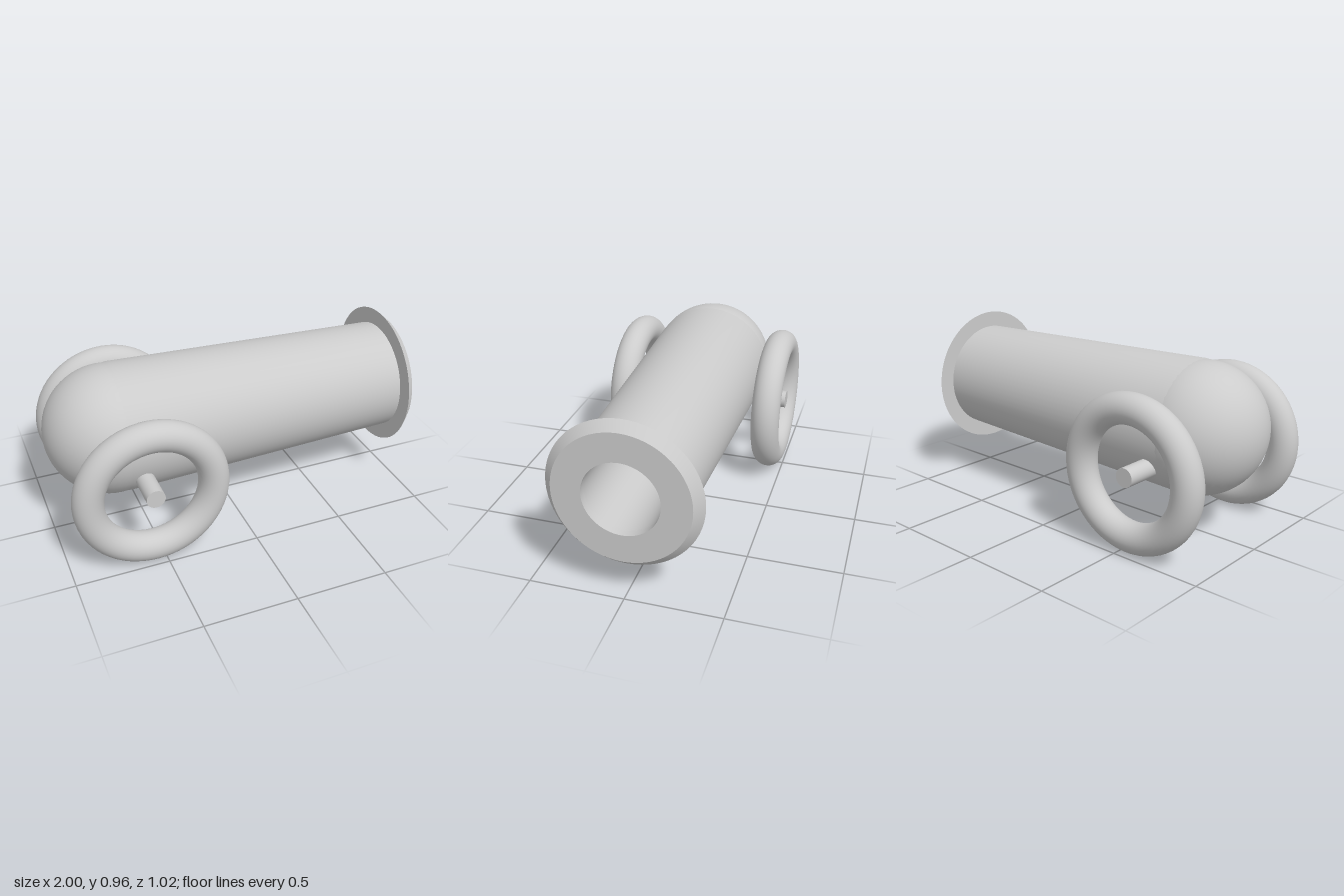
import * as THREE from 'three';
import { toCreasedNormals } from 'three/addons/utils/BufferGeometryUtils.js';

export function createModel() {
  const model = new THREE.Group();
  model.name = 'cannon';
  const material = new THREE.MeshStandardMaterial({ color: 0xcccccc });
  const AXIS_Y = 0.572;
  const BORE = 0.195;

  const add = (name, geometry, x, y, z) => {
    const mesh = new THREE.Mesh(geometry, material);
    mesh.name = name;
    mesh.position.set(x, y, z);
    model.add(mesh);
    return mesh;
  };

  // Turned part along x; points are [x, radius], outside forwards, inside back
  const turned = (points) => {
    const profile = points.map(([x, r]) => new THREE.Vector2(r, x));
    const geometry = new THREE.LatheGeometry(profile, 64).rotateZ(-Math.PI / 2);
    return toCreasedNormals(geometry, 0.5);
  };

  // Hollow tapered barrel, open at both ends
  add('barrel', turned([
    [-0.75, BORE], [-0.75, 0.332], [-0.6, 0.348], [0.96, 0.303],
    [0.96, BORE], [-0.75, BORE],
  ]), 0, AXIS_Y, 0);

  // Flared muzzle ring with a bevelled rim
  add('muzzleRing', turned([
    [0.95, BORE], [0.95, 0.392], [1, 0.346], [1, BORE], [0.95, BORE],
  ]), 0, AXIS_Y, 0);

  // Ball closing the rear; its front is the bottom of the bore
  add('breech', new THREE.SphereGeometry(0.347, 48, 32).rotateZ(Math.PI / 2),
    -0.653, AXIS_Y, 0);

  // Axle under the breech
  add('axle', new THREE.CylinderGeometry(0.05, 0.05, 0.98, 32).rotateX(Math.PI / 2),
    -0.553, 0.414, 0);

  // Ring wheels on both sides
  for (const [name, side] of [['frontWheel', 1], ['backWheel', -1]]) {
    add(name, new THREE.TorusGeometry(0.332, 0.081, 32, 64), -0.553, 0.414, side * 0.427);
  }

  return model;
}
